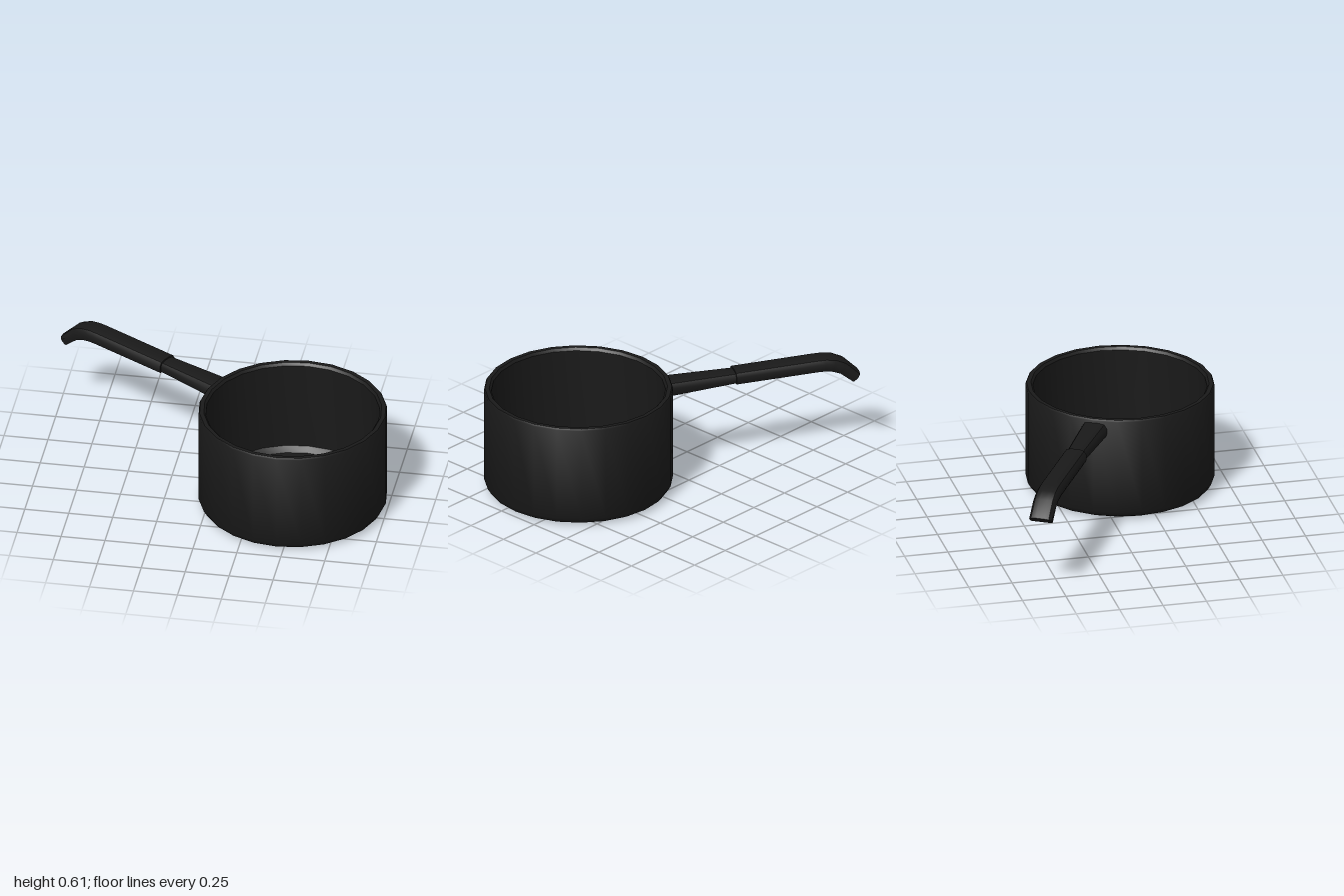
import * as THREE from 'three';
import { toCreasedNormals } from 'three/addons/utils/BufferGeometryUtils.js';

const material = new THREE.MeshStandardMaterial({ color: 0x191919 });

// Handle cross-section as [side, height] fractions: flat base, rounded top
const half = [[0.92, 0], [1, 0.2], [1, 0.6], [0.78, 0.9], [0.35, 1]];
const section = [
  ...half.map(([s, h]) => [-s, h]),
  ...half.slice().reverse(),
];

// Lofts the section through stations [topX, topY, bottomX, bottomY, halfWidth]
function loft(stations) {
  const n = section.length;
  const positions = [];
  const index = [];
  for (const [tx, ty, bx, by, w] of stations) {
    for (const [s, h] of section) {
      positions.push(bx + (tx - bx) * h, by + (ty - by) * h, s * w);
    }
  }
  for (let i = 0; i < stations.length - 1; i++) {
    for (let j = 0; j < n; j++) {
      const a = i * n + j;
      const b = i * n + ((j + 1) % n);
      index.push(a, b, b + n, a, b + n, a + n);
    }
  }
  // End caps
  const last = (stations.length - 1) * n;
  for (let j = 1; j < n - 1; j++) {
    index.push(0, j + 1, j, last, last + j, last + j + 1);
  }
  const geometry = new THREE.BufferGeometry();
  geometry.setAttribute('position', new THREE.Float32BufferAttribute(positions, 3));
  geometry.setIndex(index);
  return toCreasedNormals(geometry, 0.6);
}

function addPart(parent, name, geometry) {
  const mesh = new THREE.Mesh(geometry, material);
  mesh.name = name;
  parent.add(mesh);
}

export function createModel() {
  const pan = new THREE.Group();
  pan.name = 'saucepan';
  pan.position.set(0.465, 0, 0.1625);

  // Hollow pot: base, bevel, wall, rim and inside
  const profile = [
    [0, 0], [0.475, 0], [0.512, 0.018], [0.53, 0.048],
    [0.53, 0.6], [0.524, 0.61], [0.5, 0.61], [0.488, 0.595],
    [0.488, 0.07], [0.46, 0.04], [0, 0.04],
  ].map(([x, y]) => new THREE.Vector2(x, y));
  addPart(pan, 'pot', toCreasedNormals(new THREE.LatheGeometry(profile, 24), 0.6));

  // Handle runs outward along its own x axis
  const handle = new THREE.Group();
  handle.name = 'handle';
  handle.rotation.y = Math.PI - THREE.MathUtils.degToRad(29.4);
  pan.add(handle);

  // Tapered arm fixed to the wall
  addPart(handle, 'handleArm', loft([
    [0.51, 0.588, 0.51, 0.508, 0.073],
    [0.94, 0.582, 0.94, 0.524, 0.054],
  ]));

  // Grip with a down-curved end
  addPart(handle, 'handleGrip', loft([
    [0.91, 0.591, 0.91, 0.52, 0.065],
    [1.38, 0.597, 1.38, 0.525, 0.065],
    [1.44, 0.596, 1.425, 0.524, 0.065],
    [1.50, 0.586, 1.47, 0.517, 0.065],
    [1.56, 0.557, 1.52, 0.497, 0.065],
    [1.642, 0.476, 1.595, 0.435, 0.066],
  ]));

  const model = new THREE.Group();
  model.add(pan);
  return model;
}
